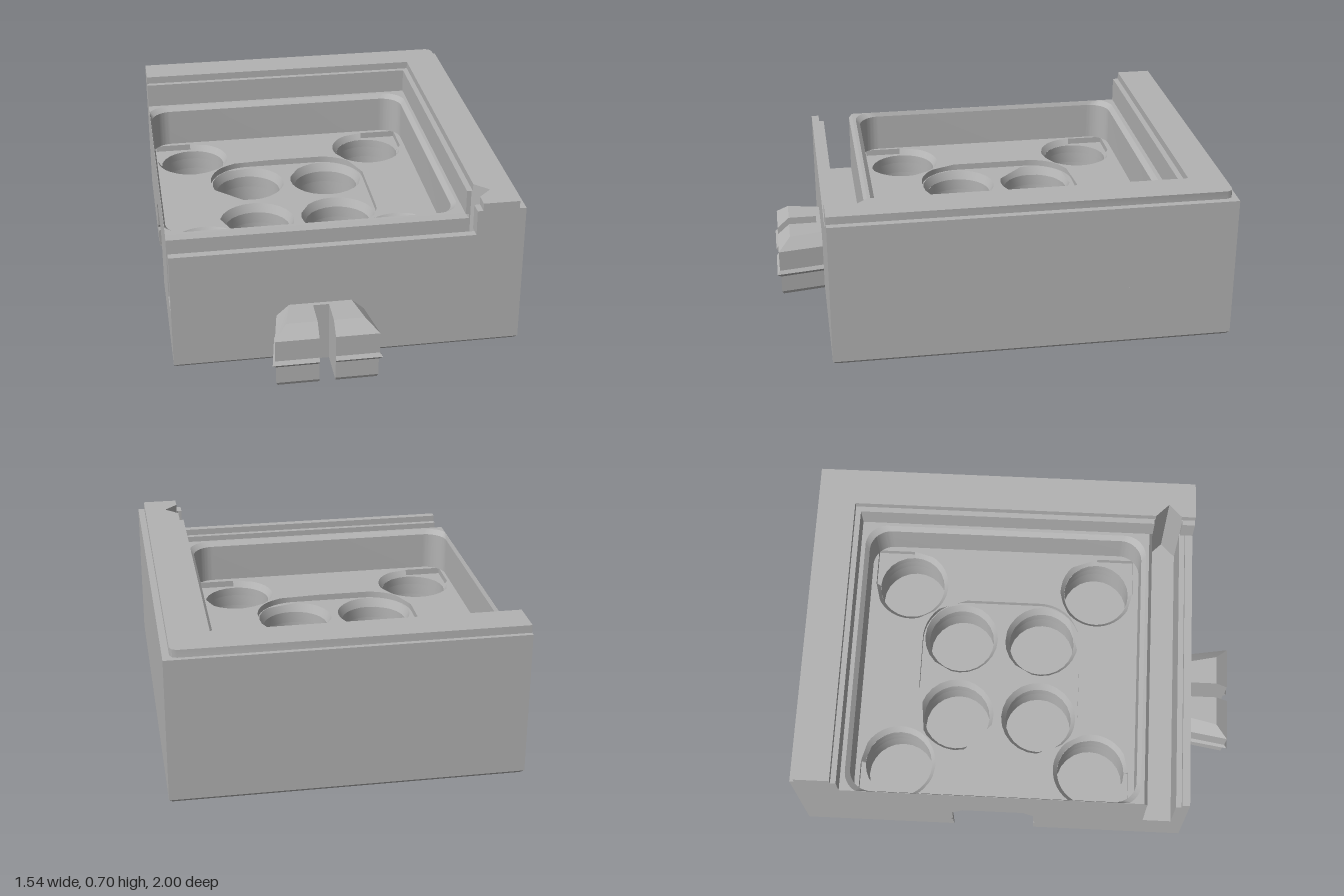
import * as THREE from 'three';
import { toCreasedNormals } from 'three/addons/utils/BufferGeometryUtils.js';

const CX = -0.125, CZ = -0.11; // centre of the tray
const grey = new THREE.MeshStandardMaterial({ color: 0xb3b3b3 });
grey.name = 'plain grey';

const polygon = (pts) => new THREE.Shape(pts.map(([x, z]) => new THREE.Vector2(x, z)));

const circle = ([x, z], r = 0.155) => new THREE.Path().absarc(x, z, r, 0, Math.PI * 2);

function roundedRect(x0, z0, x1, z1, r) {
  const p = new THREE.Path(), q = Math.PI / 2;
  p.absarc(x1 - r, z1 - r, r, 0, q);
  p.absarc(x0 + r, z1 - r, r, q, 2 * q);
  p.absarc(x0 + r, z0 + r, r, 2 * q, 3 * q);
  p.absarc(x1 - r, z0 + r, r, 3 * q, 4 * q);
  p.closePath();
  return p;
}

// Horizontal slab from a plan outline (x, z); warp may move its top or bottom vertices
function slab(name, shape, y0, y1, warp) {
  let geo = new THREE.ExtrudeGeometry(shape, { depth: y1 - y0, bevelEnabled: false, curveSegments: 12 });
  geo.rotateX(Math.PI / 2).translate(0, y1, 0);
  if (warp) {
    const p = geo.attributes.position, v = new THREE.Vector3();
    for (let i = 0; i < p.count; i++) {
      v.fromBufferAttribute(p, i);
      warp(v, v.y > (y0 + y1) / 2);
      p.setXYZ(i, v.x, v.y, v.z);
    }
  }
  geo = toCreasedNormals(geo, 0.5);
  const mesh = new THREE.Mesh(geo, grey);
  mesh.name = name;
  return mesh;
}

// Four points around the tray centre
const quad = (d) => [[-1, -1], [1, -1], [1, 1], [-1, 1]].map(([a, b]) => [CX + a * d, CZ + b * d]);
const cornerHoles = quad(0.447), innerHoles = quad(0.193);

// Plan of the block; the socket is a dovetail cut into the -x side
function plan(zFront, socket) {
  const pts = [[-0.77, -1], [0.77, -1], [0.77, zFront], [0.57, zFront], [0.555, zFront], [-0.77, zFront]];
  if (socket) pts.push([-0.77, CZ + 0.19], [-0.55, CZ + 0.23], [-0.55, CZ - 0.23], [-0.77, CZ - 0.19]);
  return polygon(pts);
}

// Widen hole rims into a chamfer
const flare = (holes) => (v, top) => {
  if (!top) return;
  for (const [x, z] of holes) {
    const dx = v.x - x, dz = v.z - z;
    if (Math.abs(Math.hypot(dx, dz) - 0.155) < 0.003) {
      v.x = x + dx * 1.13;
      v.z = z + dz * 1.13;
      return;
    }
  }
};

// Round hole with one squared corner, pointing away from the tray centre
function notchedHole([x, z]) {
  const p = new THREE.Path(), sx = Math.sign(x - CX), sz = Math.sign(z - CZ);
  const pts = [[0, 0.155], [0, 0.175], [0.175, 0.175], [0.175, 0], [0.155, 0]];
  for (let i = 1; i < 36; i++) {
    const a = -(i / 36) * Math.PI * 1.5;
    pts.push([0.155 * Math.cos(a), 0.155 * Math.sin(a)]);
  }
  p.setFromPoints(pts.map(([a, b]) => new THREE.Vector2(x + sx * a, z + sz * b)));
  p.closePath();
  return p;
}

function buildBlock() {
  const g = new THREE.Group();
  g.name = 'block';

  // Base with a bevelled lower edge
  g.add(slab('base', plan(0.78, true), 0, 0.015, (v, top) => {
    if (top) return;
    v.x = THREE.MathUtils.clamp(v.x, -0.755, 0.755);
    v.z = THREE.MathUtils.clamp(v.z, -0.985, 0.765);
  }));

  // Layers around the socket: y0, y1, socket width factor at each
  const layers = [[0.015, 0.095, 1, 1], [0.095, 0.11, 1, 1.05], [0.11, 0.125, 1.05, 1],
    [0.125, 0.225, 1, 1], [0.225, 0.28, 1, 0.74]];
  for (const [y0, y1, s0, s1] of layers) {
    const shape = plan(0.59, true);
    if (y0 >= 0.125) shape.holes.push(...[...cornerHoles, ...innerHoles].map((c) => circle(c)));
    g.add(slab('socketLayer', shape, y0, y1, (v, top) => {
      if (v.x > -0.54 || Math.abs(v.z - CZ) > 0.24) return;
      const s = top ? s1 : s0;
      v.z = CZ + (v.z - CZ) * s;
      if (v.x > -0.6) v.x += (s - 1) * 0.2;
    }));
  }

  // Pocket floor with four round holes
  const pocketFloor = plan(0.59);
  pocketFloor.holes.push(...[...cornerHoles, ...innerHoles].map((c) => circle(c)));
  g.add(slab('pocketFloor', pocketFloor, 0.28, 0.32, flare(innerHoles)));

  // Tray floor with the shallow pocket and the corner holes
  const trayFloor = plan(0.59);
  trayFloor.holes.push(roundedRect(CX - 0.377, CZ - 0.377, CX + 0.377, CZ + 0.377, 0.2));
  trayFloor.holes.push(...cornerHoles.map(notchedHole));
  g.add(slab('trayFloor', trayFloor, 0.32, 0.35, flare(cornerHoles)));

  // Tray walls and their chamfered rim
  const walls = plan(0.59);
  walls.holes.push(roundedRect(-0.762, -0.755, 0.52, 0.54, 0.1));
  g.add(slab('trayWalls', walls, 0.35, 0.53));
  g.add(slab('trayRim', walls, 0.53, 0.55, (v, top) => {
    if (!top) return;
    if (Math.abs(v.x) < 0.765 && v.z > -0.99 && v.z < 0.58) {
      v.x = Math.max(-0.769, -0.121 + (v.x + 0.121) * 1.031);
      v.z = -0.1075 + (v.z + 0.1075) * 1.031;
    } else if (v.z > 0.58 && v.x < 0.56) v.z = 0.575;
  }));
  return g;
}

// Front wall holding a deep panel groove that ends in a V
function buildFrontWall() {
  const g = new THREE.Group();
  g.name = 'frontWall';
  const profile = polygon([[0.59, 0.015], [0.59, 0.25], [0.72, 0.25], [0.72, 0.52],
    [0.745, 0.52], [0.745, 0.55], [0.78, 0.55], [0.78, 0.015]]);
  const geo = new THREE.ExtrudeGeometry(profile, { depth: 1.345, bevelEnabled: false });
  geo.rotateY(-Math.PI / 2).translate(0.575, 0, 0);
  const beam = new THREE.Mesh(geo, grey);
  beam.name = 'groovedBeam';
  g.add(beam);
  const foot = polygon([[0.575, 0.59], [0.77, 0.59], [0.77, 0.78], [0.575, 0.78]]);
  const post = polygon([[0.575, 0.59], [0.77, 0.59], [0.77, 0.78], [0.575, 0.78], [0.575, 0.72], [0.64, 0.655]]);
  g.add(slab('postFoot', foot, 0.015, 0.25), slab('post', post, 0.25, 0.55));
  return g;
}

// Raised L-shaped wall along the back and the +x side, stepped on top
function buildRaisedWall() {
  const g = new THREE.Group();
  g.name = 'raisedWall';
  const lower = polygon([[-0.77, -1], [0.77, -1], [0.77, 0.78], [0.555, 0.78], [0.555, 0.72], [0.575, 0.72],
    [0.64, 0.655], [0.575, 0.59], [0.555, 0.59], [0.555, -0.795], [-0.77, -0.795]]);
  const upper = polygon([[-0.77, -0.98], [0.71, -0.98], [0.73, -0.972], [0.74, -0.95], [0.74, 0.78],
    [0.58, 0.78], [0.58, 0.715], [0.64, 0.655], [0.58, 0.595], [0.58, -0.82], [-0.77, -0.82]]);
  g.add(slab('wallBody', lower, 0.55, 0.665), slab('wallCap', upper, 0.665, 0.7));
  return g;
}

// Split dovetail clip on the front, built from layers that swell and taper
function buildClip() {
  const g = new THREE.Group();
  g.name = 'clip';
  const shape = polygon([[-0.195, 0.77], [-0.23, 0.99], [-0.035, 0.99], [-0.035, 0.8],
    [0.035, 0.8], [0.035, 0.99], [0.23, 0.99], [0.195, 0.77]].map(([x, z]) => [x - 0, z]));
  const rows = [[0, -0.015], [0.015, -0.008], [0.095, -0.008], [0.112, 0.008], [0.128, -0.004],
    [0.225, -0.004], [0.275, -0.06]];
  for (let i = 0; i < rows.length - 1; i++) {
    const [y0, d0] = rows[i], [y1, d1] = rows[i + 1];
    g.add(slab('clipLayer', shape, y0, y1, (v, top) => {
      const d = top ? d1 : d0;
      if (Math.abs(v.x) > 0.1) v.x += Math.sign(v.x) * d;
      if (v.z > 0.9) v.z += d;
    }));
  }
  g.position.x = CX;
  return g;
}

export function createModel() {
  const model = new THREE.Group();
  model.name = 'cornerTray';
  model.add(buildBlock(), buildFrontWall(), buildRaisedWall(), buildClip());
  return model;
}
